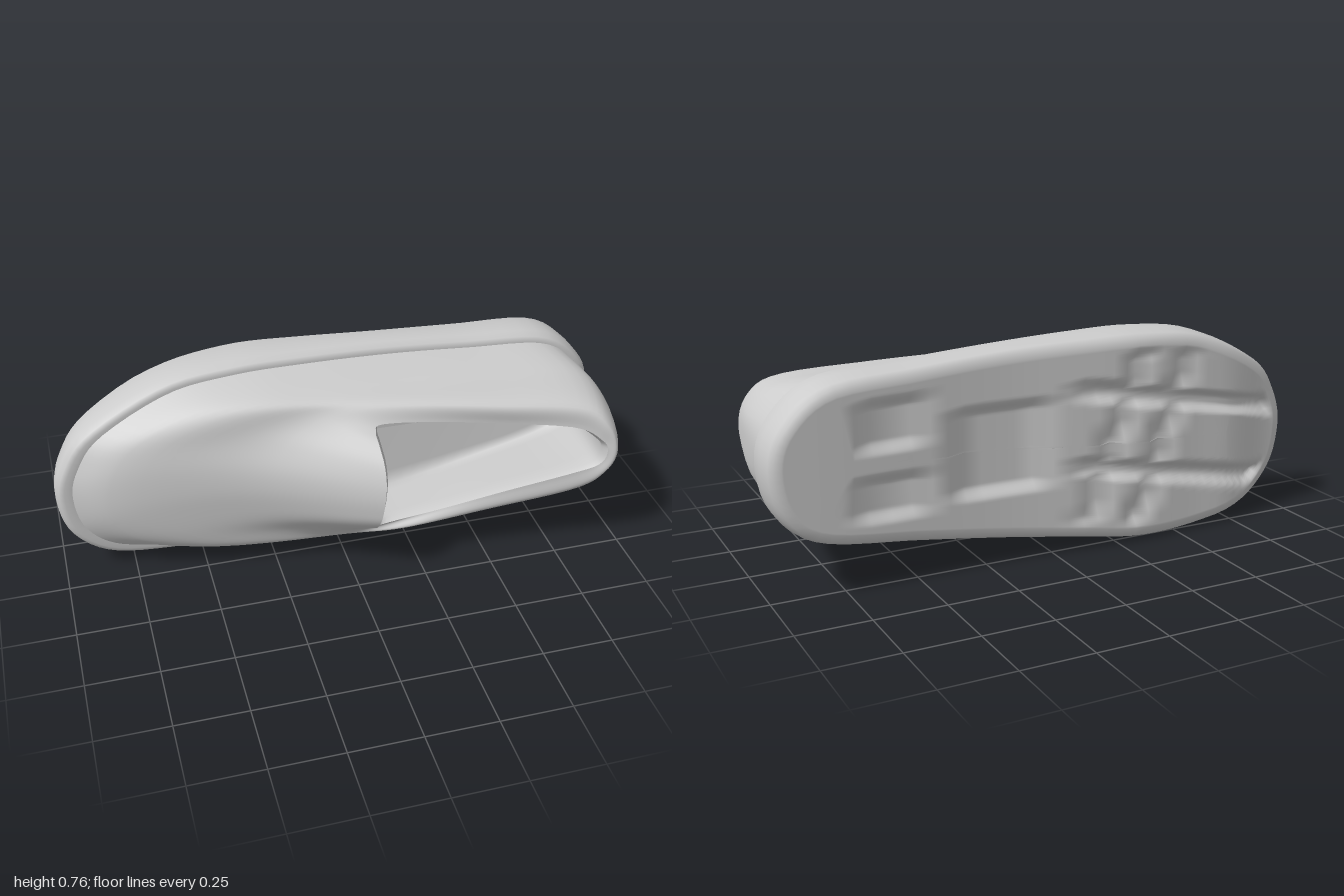
import * as THREE from 'three';

const N = 96; // points round each ring
const V = (x, y, z = 0) => new THREE.Vector3(x, y, z);
const mat = new THREE.MeshStandardMaterial({ color: 0xcccccc, side: THREE.DoubleSide });

// Matching closed guide rings: toe, upper side, heel, lower side
const outline = [[-1, .33], [-.97, .46], [-.87, .59], [-.6, .72], [-.35, .757], [-.1, .757], [.2, .745],
  [.5, .725], [.8, .7], [.95, .59], [1, .45], [.96, .28], [.83, .18], [.5, .13], [.2, .085], [-.1, .04],
  [-.35, .005], [-.6, .01], [-.83, .06], [-.96, .17]];
const shoulder = [[-.82, .35, -.01], [-.79, .46, -.01], [-.7, .56, -.01], [-.5, .645, 0], [-.3, .68, .01],
  [-.08, .685, .01], [.22, .675, .02], [.52, .665, .03], [.83, .645, .05], [.945, .56, .08], [.965, .45, .1],
  [.945, .32, .08], [.83, .235, .05], [.5, .165, .04], [.2, .12, .03], [-.1, .085, .02], [-.32, .075, .01],
  [-.53, .095, 0], [-.72, .16, -.01], [-.8, .25, -.01]];
const crown = [[-.32, .38, .1], [-.31, .46, .095], [-.26, .54, .08], [-.17, .6, .075], [-.08, .635, .08],
  [.05, .65, .1], [.27, .65, .14], [.52, .635, .19], [.8, .61, .24], [.89, .55, .28], [.92, .45, .3],
  [.89, .36, .29], [.8, .275, .25], [.5, .2, .19], [.2, .145, .15], [.03, .12, .1], [-.1, .125, .08],
  [-.19, .165, .08], [-.27, .225, .09], [-.31, .3, .095]];
const rim = [[.08, .39, .29], [.085, .45, .28], [.085, .51, .25], [.08, .56, .2], [.08, .585, .16],
  [.11, .6, .14], [.3, .59, .16], [.55, .565, .2], [.78, .54, .25], [.87, .49, .28], [.89, .45, .29],
  [.87, .39, .28], [.78, .345, .25], [.55, .275, .2], [.32, .21, .16], [.15, .175, .14], [.09, .19, .17],
  [.07, .23, .23], [.07, .28, .27], [.075, .33, .285]];

function ring(points) {
  const curve = new THREE.CatmullRomCurve3(points.map(p => V(...p)), true, 'catmullrom', 0.5);
  return Array.from({ length: N }, (_, j) => curve.getPoint(j / N));
}

// Piecewise-linear height along the shoe
function along(keys, x) {
  for (let i = 1; i < keys.length; i++) {
    const [x0, z0] = keys[i - 1], [x1, z1] = keys[i];
    if (x <= x1) return THREE.MathUtils.lerp(z0, z1, THREE.MathUtils.smoothstep(x, x0, x1));
  }
  return keys[keys.length - 1][1];
}
const soleBottom = x => along([[-1, -.215], [-.65, -.28], [-.3, -.303], [.2, -.28], [.9, -.303]], x);
const soleTop = x => along([[-1, -.07], [-.5, -.11], [.3, -.13], [1, -.12]], x);
const spine = p => {
  const x = THREE.MathUtils.clamp(p.x, -.7, .72);
  return V(x, .39 + .06 * x, p.z);
};

// Move a point inward along the outline by d
function inset(edge, j, d) {
  const t = edge[(j + 1) % N].clone().sub(edge[(j + N - 1) % N]).normalize();
  return V(edge[j].x + t.y * d, edge[j].y - t.x * d);
}

// Skin a list of rings
function skin(name, rings) {
  const pos = [], idx = [];
  rings.forEach(r => r.forEach(p => pos.push(p.x, p.y, p.z)));
  for (let i = 0; i < rings.length - 1; i++) for (let j = 0; j < N; j++) {
    const k = (j + 1) % N, a = i * N + j, b = i * N + k, c = a + N, d = b + N;
    idx.push(a, c, b, b, c, d);
  }
  const g = new THREE.BufferGeometry();
  g.setAttribute('position', new THREE.Float32BufferAttribute(pos, 3));
  g.setIndex(idx);
  g.computeVertexNormals();
  const mesh = new THREE.Mesh(g, mat);
  mesh.name = name;
  return mesh;
}

// Tread depth: crossed forefoot grooves, arch hollow and heel pockets
function tread(x, y) {
  const S = THREE.MathUtils.smoothstep;
  const box = (cx, cy, w, h) =>
    (1 - S(Math.abs(x - cx), w - .03, w + .02)) * (1 - S(Math.abs(y - cy), h - .03, h + .02));
  const groove = d => 1 - S(Math.abs(d), .012, .045);
  const fore = 1 - S(x, -.15, -.05);
  const lines = Math.max(groove(x + .42 + (y - .38) * .35), groove(x + .22 + (y - .38) * .35),
    groove(y - .25 - (x + .4) * .2), groove(y - .52 - (x + .4) * .2));
  return Math.max(.03 * fore * lines, .03 * box(.2, .41, .17, .15),
    .025 * box(.58, .55, .1, .08), .025 * box(.6, .31, .12, .07));
}

export function createModel() {
  const group = new THREE.Group();
  const edge = ring(outline);
  const at = (d, z) => edge.map((p, j) => {
    const q = inset(edge, j, d);
    q.z = z(p.x);
    return q;
  });

  // Sole: treaded underside, rounded side wall, lip under the upper
  const base = at(.045, soleBottom), rings = [];
  for (let i = 0; i <= 40; i++) rings.push(base.map(p => {
    const q = spine(p).lerp(p, i / 40);
    q.z = soleBottom(q.x) + tread(q.x, q.y) * (1 - THREE.MathUtils.smoothstep(i / 40, .85, 1));
    return q;
  }));
  const wall = [[.02, .03], [.008, .15], [0, .5], [0, .8], [.012, .95], [.03, 1], [.06, .97]];
  for (const [d, t] of wall)
    rings.push(at(d, x => THREE.MathUtils.lerp(soleBottom(x), soleTop(x), t)));
  group.add(skin('sole', rings));

  // Upper: smooth skin from the sole edge over the vamp and collar to the opening
  const guides = [at(.03, x => soleTop(x) - .02), ring(shoulder), ring(crown), ring(rim)];
  const columns = edge.map((_, j) => new THREE.CatmullRomCurve3(guides.map(g => g[j])));
  const outer = [];
  for (let i = 0; i <= 24; i++) outer.push(columns.map(c => c.getPoint(i / 24)));
  group.add(skin('upper', outer));

  // Lining: rolled rim, inner wall and insole
  const [, low, , top] = guides;
  const lip = top.map(p => {
    const q = p.clone().lerp(V(.45, .4, p.z), .03);
    q.z -= .025;
    return q;
  });
  const floor = top.map((p, j) => {
    const q = p.clone().lerp(low[j], .4);
    q.z = -.1;
    return q;
  });
  const lining = [top, lip];
  for (let i = 1; i <= 6; i++) lining.push(lip.map((p, j) => p.clone().lerp(floor[j], i / 6)));
  for (let i = 1; i <= 4; i++) lining.push(floor.map(p => {
    const c = V(THREE.MathUtils.clamp(p.x, -.1, .65), .41, -.115);
    return p.clone().lerp(c, i / 4);
  }));
  group.add(skin('lining', lining));
  return group;
}
